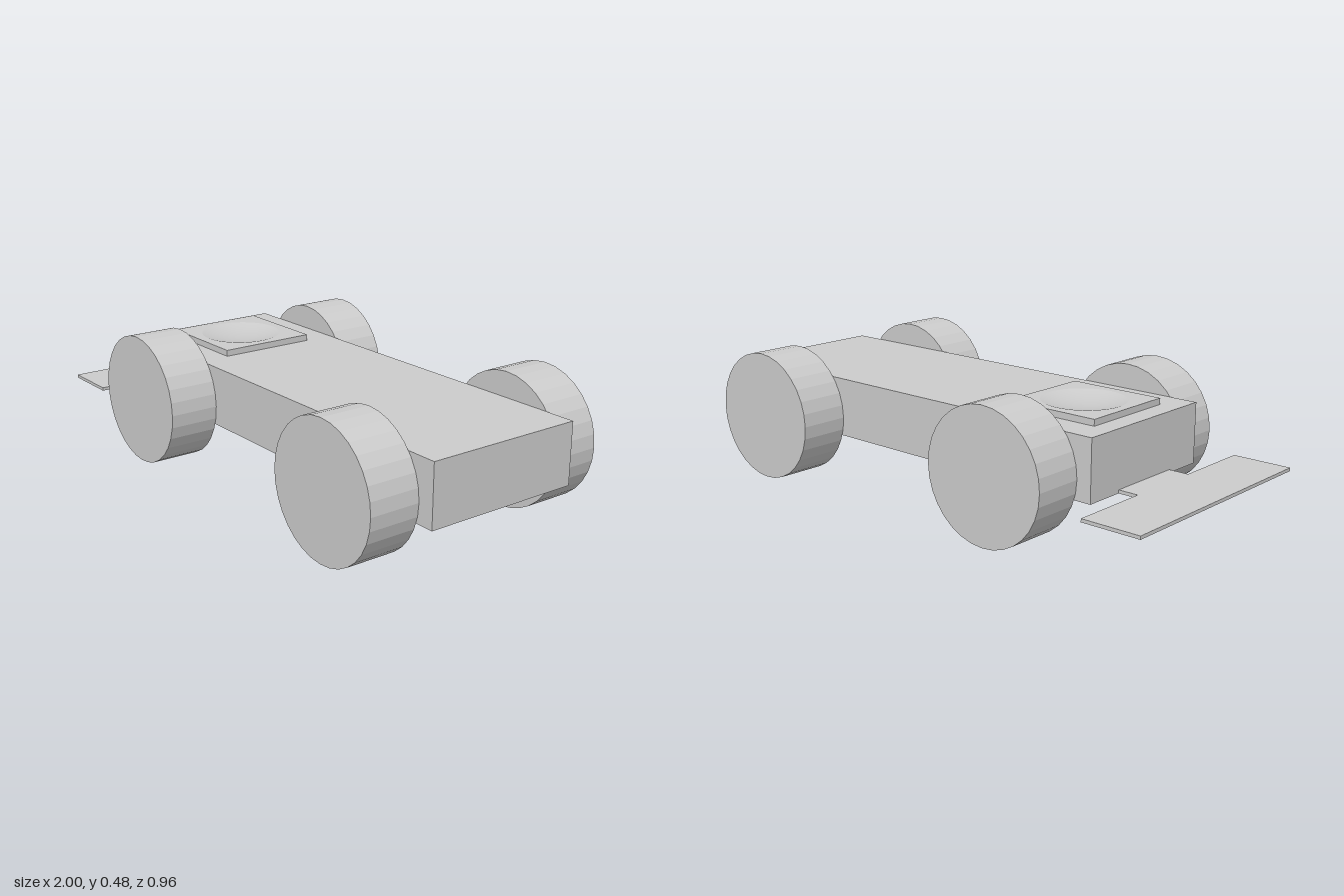
import * as THREE from 'three';

const material = new THREE.MeshStandardMaterial({ color: 0xcccccc });
const flatMaterial = new THREE.MeshStandardMaterial({ color: 0xcccccc, flatShading: true });

function mesh(name, geometry, mat = material) {
  const m = new THREE.Mesh(geometry, mat);
  m.name = name;
  return m;
}

// Extrude an outline drawn in x and -z upward from height y
function slab(shape, y, height) {
  return new THREE.ExtrudeGeometry(shape, { depth: height, bevelEnabled: false, curveSegments: 24 })
    .rotateX(-Math.PI / 2)
    .translate(0, y, 0);
}

export function createModel() {
  const car = new THREE.Group();
  car.name = 'car';

  // Long box body
  const body = mesh('body', new THREE.BoxGeometry(1.705, 0.22, 0.59));
  body.position.set(0.1475, 0.28, 0);
  car.add(body);

  // Flat T-shaped wing at the nose
  const wing = new THREE.Shape([
    [-0.705, -0.145], [-0.705, 0.145], [-0.78, 0.145], [-0.78, 0.44],
    [-1, 0.44], [-1, -0.44], [-0.78, -0.44], [-0.78, -0.145],
  ].map(([x, y]) => new THREE.Vector2(x, y)));
  car.add(mesh('noseWing', slab(wing, 0.17, 0.012)));

  // Square deck plate with a round opening
  const cx = -0.445, half = 0.185, bowlRadius = 0.15, top = 0.413;
  const plate = new THREE.Shape([
    [-half, -half], [half, -half], [half, half], [-half, half],
  ].map(([x, y]) => new THREE.Vector2(cx + x, y)));
  plate.holes.push(new THREE.Path().absarc(cx, 0, bowlRadius, 0, Math.PI * 2, true));
  car.add(mesh('deckPlate', slab(plate, 0.39, top - 0.39)));

  // Shallow dish in the opening, from rim to centre
  const depth = 0.02, profile = [];
  for (let i = 0; i <= 8; i++) {
    const r = 1 - i / 8;
    profile.push(new THREE.Vector2(bowlRadius * r, -depth * (1 - r * r)));
  }
  const dish = mesh('deckDish', new THREE.LatheGeometry(profile, 48));
  dish.position.set(cx, top, 0);
  car.add(dish);

  // Four faceted wheels
  const wheelGeometry = new THREE.CylinderGeometry(0.24, 0.24, 0.185, 32).rotateX(Math.PI / 2);
  for (const [end, x] of [['nose', -0.41], ['tail', 0.7]]) {
    for (const [side, z] of [['Front', 0.3875], ['Back', -0.3875]]) {
      const wheel = mesh(`${end}${side}Wheel`, wheelGeometry, flatMaterial);
      wheel.position.set(x, 0.24, z);
      car.add(wheel);
    }
  }

  return car;
}
